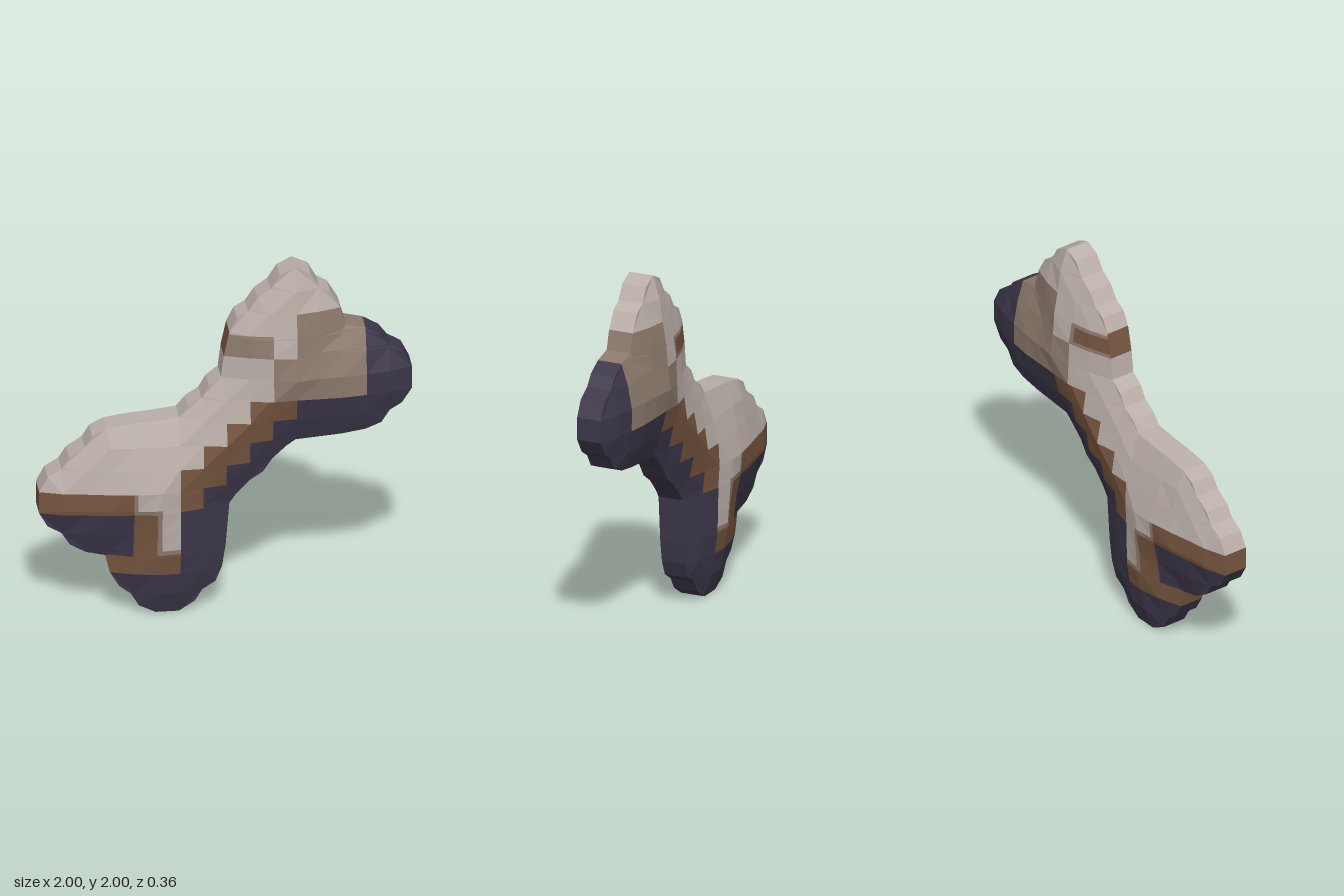
import * as THREE from 'three';

const COLORS = { pale: 0xbaaea8, taupe: 0x8c7a6d, brown: 0x76553f, dark: 0x3d374a };

// Right knob and lower shaft edge; the lower knob mirrors it across the shaft
const RIGHT_KNOB = [
  [0.645, 1.645], [0.75, 1.62], [0.835, 1.57], [0.88, 1.51], [0.955, 1.465], [1, 1.375], [1, 1.25],
  [0.945, 1.165], [0.88, 1.125], [0.835, 1.055], [0.75, 1.02], [0.625, 1], [0.5, 0.99], [0.375, 0.98],
  [0.325, 0.945], [0.25, 0.875], [0.2, 0.8],
];
// Left knob, upper shaft edge and pointed top knob
const UPPER_EDGE = [
  [-0.645, 0.355], [-0.75, 0.38], [-0.835, 0.43], [-0.88, 0.5], [-0.955, 0.545], [-1, 0.625], [-1, 0.75],
  [-0.955, 0.835], [-0.88, 0.88], [-0.84, 0.945], [-0.755, 1], [-0.715, 1.065], [-0.64, 1.105],
  [-0.5, 1.125], [-0.375, 1.135], [-0.25, 1.15], [-0.2, 1.21], [-0.13, 1.255], [-0.09, 1.325],
  [-0.025, 1.375], [-0.01, 1.5], [0.02, 1.64], [0.06, 1.72], [0.12, 1.755], [0.17, 1.83], [0.24, 1.88],
  [0.29, 1.96], [0.37, 2], [0.455, 1.96], [0.5, 1.88], [0.56, 1.845], [0.615, 1.75],
];

function makeOutline() {
  const lowerKnob = RIGHT_KNOB.slice(1, -1).reverse().map(([x, y]) => [1 - y, 1 - x]);
  return [...RIGHT_KNOB, ...lowerKnob, ...UPPER_EDGE];
}

// Puffed half-thickness, rising with distance from the rim
const RIM = 0.07;
const RISE = [[0, 0], [0.12, 0.045], [0.28, 0.085], [0.39, 0.11], [9, 0.11]];

function thickness(x, y, outline) {
  let d = Infinity;
  outline.forEach(([ax, ay], i) => {
    const [bx, by] = outline[(i + 1) % outline.length];
    const ux = bx - ax, uy = by - ay;
    const t = THREE.MathUtils.clamp(((x - ax) * ux + (y - ay) * uy) / (ux * ux + uy * uy), 0, 1);
    d = Math.min(d, Math.hypot(x - ax - t * ux, y - ay - t * uy));
  });
  const k = Math.max(1, RISE.findIndex(([r]) => d <= r));
  return RIM + THREE.MathUtils.mapLinear(d, RISE[k - 1][0], RISE[k][0], RISE[k - 1][1], RISE[k][1]);
}

// Colour patches follow a square grid
function colorAt(x, y, back) {
  if (x > 0.75) return 'dark';
  // upper knob
  if (y > 1.25) {
    if (x > 0.375) return y < 1.75 ? 'taupe' : 'pale';
    if (x > 0.25) return y < 1.5 ? 'taupe' : 'pale';
    if (y > 1.5 && y < 1.625) return back && x < 0.225 && y > 1.52 && y < 1.605 ? 'brown' : 'taupe';
    return 'pale';
  }
  // stepped band along the shaft
  if (x > -0.25) {
    if (x > 0.375) return 'dark';
    const low = 0.625 + 0.125 * Math.floor((x + 0.25) / 0.125);
    return y < low ? 'dark' : y < low + 0.25 ? 'brown' : 'pale';
  }
  // lower knob
  if (y > 0.75) return 'pale';
  if (y < 0.25) return 'dark';
  if (x < -0.5) return y > 0.625 || y < 0.36 ? 'brown' : 'dark';
  // tongue with a thin border
  if (y > 0.625) return x < -0.48 || (y < 0.65 && x < -0.35) ? 'taupe' : 'pale';
  if (x > -0.375 && y > 0.375) return x < -0.35 || y < 0.4 ? 'taupe' : 'pale';
  return 'brown';
}

// Keep the part of a polygon where sign * (p[axis] - value) >= 0
function clip(poly, axis, value, sign) {
  const out = [];
  poly.forEach((p, i) => {
    const q = poly[(i + 1) % poly.length];
    const a = sign * (p[axis] - value), b = sign * (q[axis] - value);
    if (a >= 0) out.push(p);
    if ((a > 0 && b < 0) || (a < 0 && b > 0)) {
      const t = a / (a - b);
      out.push([p[0] + t * (q[0] - p[0]), p[1] + t * (q[1] - p[1])]);
    }
  });
  return out;
}

const cross = (a, b, c) => (b[0] - a[0]) * (c[1] - a[1]) - (b[1] - a[1]) * (c[0] - a[0]);

function gridLines(start, extra) {
  const lines = Array.from({ length: 17 }, (_, i) => start + i * 0.125);
  return [...lines, ...extra].sort((a, b) => a - b);
}

export function createModel() {
  const group = new THREE.Group();
  group.name = 'bone';
  const outline = makeOutline();
  const xs = gridLines(-1, [-0.48, -0.35, 0.225]);
  const ys = gridLines(0, [0.36, 0.4, 0.65, 1.52, 1.605]);
  const parts = { frontFace: {}, backFace: {}, rim: {} };
  const add = (part, color, ...points) => {
    (parts[part][color] ??= []).push(...points.flat());
  };

  // Front and back faces, cell by cell
  for (let i = 0; i < xs.length - 1; i++) {
    const column = clip(clip(outline, 0, xs[i], 1), 0, xs[i + 1], -1);
    for (let j = 0; j < ys.length - 1; j++) {
      const x0 = xs[i], x1 = xs[i + 1], y0 = ys[j], y1 = ys[j + 1];
      const cell = clip(clip(column, 1, y0, 1), 1, y1, -1);
      if (cell.length < 3) continue;
      const points = cell.map(([x, y]) => new THREE.Vector2(x, y));
      const area = Math.abs(THREE.ShapeUtils.area(points));
      if (area < 1e-7) continue;
      let triangles;
      if (Math.abs(area - (x1 - x0) * (y1 - y0)) < 1e-7) {
        const a = [x0, y0], b = [x1, y0], c = [x1, y1], d = [x0, y1];
        triangles = [[a, b, c], [a, c, d]];
      } else {
        triangles = THREE.ShapeUtils.triangulateShape(points, [])
          .map((t) => t.map((k) => [points[k].x, points[k].y]));
      }
      const mx = (x0 + x1) / 2, my = (y0 + y1) / 2;
      for (const t of triangles) {
        const turn = cross(...t);
        if (Math.abs(turn) < 1e-8) continue;
        const tri = turn > 0 ? t : [t[0], t[2], t[1]];
        const front = tri.map(([x, y]) => [x, y, thickness(x, y, outline)]);
        const back = front.map(([x, y, z]) => [x, y, -z]).reverse();
        add('frontFace', colorAt(mx, my, false), ...front);
        add('backFace', colorAt(mx, my, true), ...back);
      }
    }
  }

  // Flat rim joining the two faces
  outline.forEach(([ax, ay], i) => {
    const [bx, by] = outline[(i + 1) % outline.length];
    const length = Math.hypot(bx - ax, by - ay);
    const inX = (by - ay) / length * 0.005, inY = -(bx - ax) / length * 0.005;
    const color = colorAt((ax + bx) / 2 + inX, (ay + by) / 2 + inY, true);
    const a = [ax, ay, RIM], b = [bx, by, RIM], c = [bx, by, -RIM], d = [ax, ay, -RIM];
    add('rim', color, a, b, c, a, c, d);
  });

  // One faceted mesh per part and colour
  const materials = {};
  for (const [name, color] of Object.entries(COLORS)) {
    materials[name] = new THREE.MeshStandardMaterial({ color });
    materials[name].name = name;
  }
  for (const [part, buckets] of Object.entries(parts)) {
    const holder = new THREE.Group();
    holder.name = part;
    for (const [color, positions] of Object.entries(buckets)) {
      const geometry = new THREE.BufferGeometry();
      geometry.setAttribute('position', new THREE.Float32BufferAttribute(positions, 3));
      geometry.computeVertexNormals();
      const mesh = new THREE.Mesh(geometry, materials[color]);
      mesh.name = `${part} ${color} patch`;
      holder.add(mesh);
    }
    group.add(holder);
  }
  return group;
}
